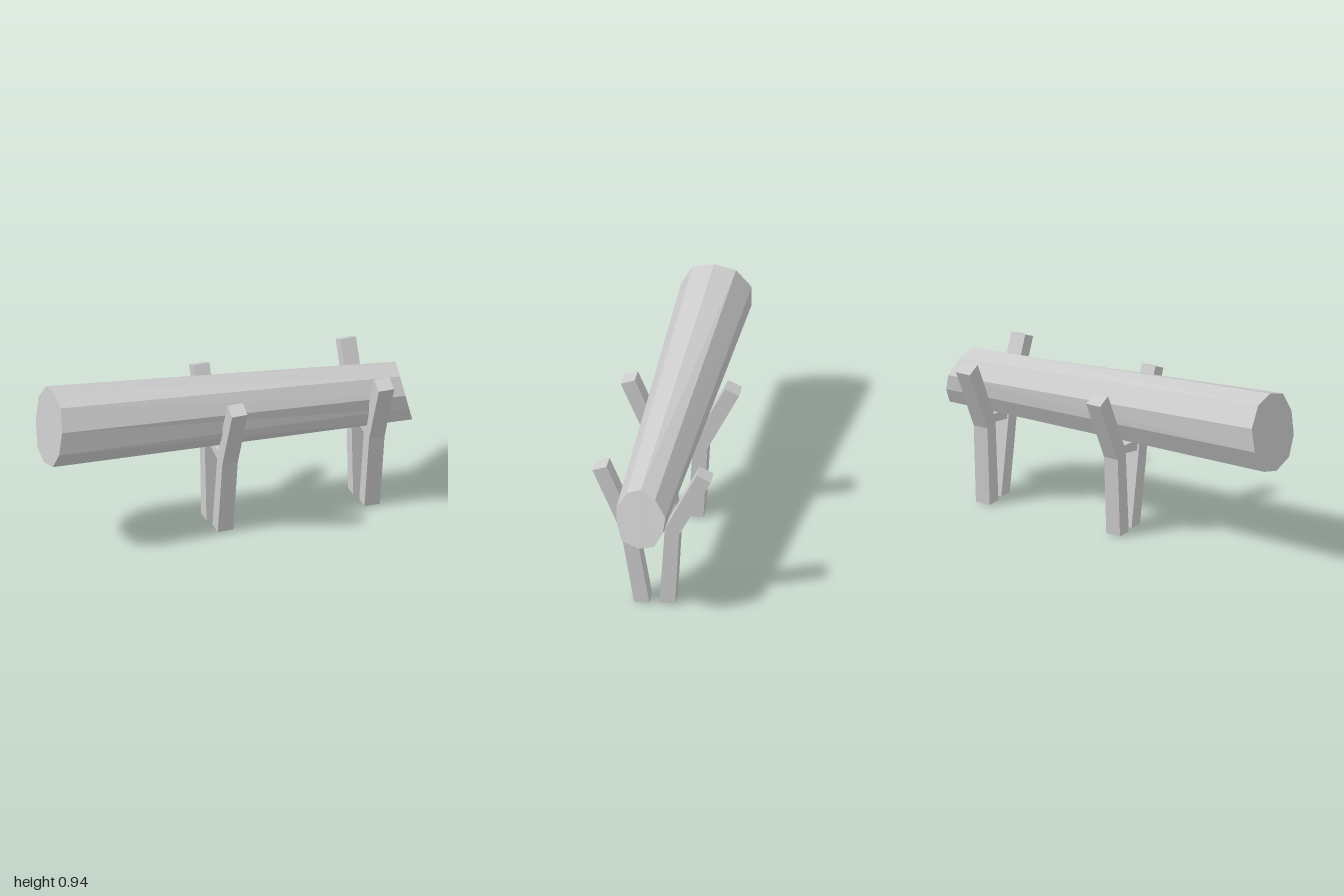
import * as THREE from 'three';

const material = new THREE.MeshStandardMaterial({ color: 0xcccccc, flatShading: true, side: THREE.DoubleSide });

// Skins a row of rings (counter-clockwise seen from the far end), optionally capping each end.
function loft(name, rings, capStart, capEnd) {
  const pos = [];
  const tri = (a, b, c) => pos.push(...a, ...b, ...c);
  const n = rings[0].length;
  for (let r = 0; r < rings.length - 1; r++) {
    const a = rings[r], b = rings[r + 1];
    for (let i = 0; i < n; i++) {
      const j = (i + 1) % n;
      tri(a[i], a[j], b[j]);
      tri(a[i], b[j], b[i]);
    }
  }
  const first = rings[0], last = rings[rings.length - 1];
  for (let i = 1; i < n - 1; i++) {
    if (capStart) tri(first[0], first[i + 1], first[i]);
    if (capEnd) tri(last[0], last[i], last[i + 1]);
  }
  const geometry = new THREE.BufferGeometry();
  geometry.setAttribute('position', new THREE.Float32BufferAttribute(pos, 3));
  geometry.computeVertexNormals();
  const mesh = new THREE.Mesh(geometry, material);
  mesh.name = name;
  return mesh;
}

// Log: ten-sided, tapering towards an obliquely sawn end. Outlines are [z, y].
function makeLog() {
  const thick = [[-0.005, 0.943], [0.11, 0.908], [0.17, 0.795], [0.168, 0.665], [0.105, 0.565],
    [-0.02, 0.53], [-0.13, 0.56], [-0.195, 0.685], [-0.2, 0.815], [-0.12, 0.918]];
  const thin = [[0.035, 0.78], [0.11, 0.745], [0.163, 0.655], [0.155, 0.575], [0.125, 0.487],
    [0.03, 0.465], [-0.05, 0.49], [-0.095, 0.575], [-0.105, 0.66], [-0.045, 0.745]];
  return loft('log', [
    thick.map(([z, y]) => [-0.975 + 0.12 * (y - 0.735), y, z]),
    thin.map(([z, y]) => [Math.min(1, 0.955 - 0.25 * (y - 0.62) - 0.2 * (z - 0.03)), y, z]),
  ], true, true);
}

// Bent post, open underneath. Each level is [front z, front y, back z, back y].
function makePost(name, x0, x1, levels) {
  return loft(name, levels.map(([zf, yf, zb, yb]) =>
    [[x0, yf, zf], [x1, yf, zf], [x1, yb, zb], [x0, yb, zb]]), false, true);
}

// Forked stand: two posts joined by a slanting crossbar.
function makeStand(name, x) {
  const stand = new THREE.Group();
  stand.name = name;
  stand.add(
    makePost('frontPost', -0.085, 0,
      [[0.09, 0, 0.01, 0.003], [0.16, 0.435, 0.085, 0.46], [0.31, 0.795, 0.235, 0.826]]),
    makePost('backPost', -0.1, -0.015,
      [[-0.04, 0.003, -0.122, 0.003], [-0.068, 0.465, -0.143, 0.435], [-0.235, 0.82, -0.31, 0.785]]),
    loft('crossbar', [[-0.075, 0.438, 0.48], [0.09, 0.408, 0.465]].map(([z, lo, hi]) =>
      [[-0.075, lo, z], [-0.03, lo, z], [-0.03, hi, z], [-0.075, hi, z]]), true, true),
  );
  stand.position.x = x;
  return stand;
}

export function createModel() {
  const model = new THREE.Group();
  model.name = 'logOnStands';
  model.add(makeLog(), makeStand('middleStand', 0), makeStand('endStand', 0.805));
  return model;
}
